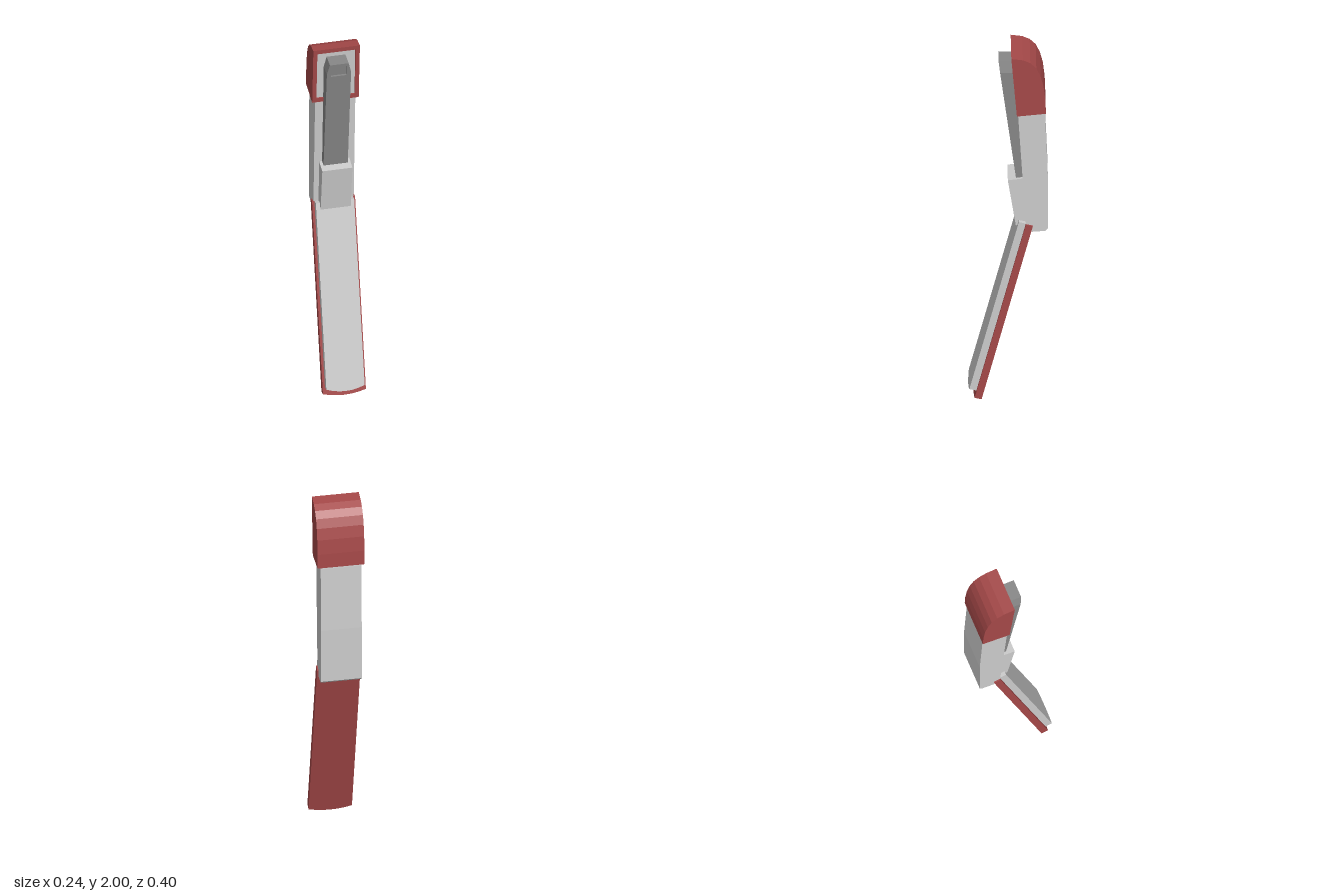
import * as THREE from 'three';

const grey = new THREE.MeshStandardMaterial({ color: 0xcccccc, flatShading: true });
const dark = new THREE.MeshStandardMaterial({ color: 0x878787, flatShading: true });
const red = new THREE.MeshStandardMaterial({ color: 0xa44848, flatShading: true });

const toShape = (pts) => new THREE.Shape(pts.map(([x, y]) => new THREE.Vector2(x, y)));
const extrude = (shape, depth) => new THREE.ExtrudeGeometry(shape, { depth, bevelEnabled: false });

function part(name, geometry, material) {
  const mesh = new THREE.Mesh(geometry, material);
  mesh.name = name;
  return mesh;
}

// Side profile of [z, y] points, extruded across x and centred on x
function sideExtrude(pts, width, x = 0) {
  return extrude(toShape(pts), width).rotateY(-Math.PI / 2).translate(x + width / 2, 0, 0);
}

// Long plate hanging down from y = 0 with a bowed lower end
function leafPlate(half, corner, middle, z, depth) {
  const bow = middle - corner;
  const steps = [-1, -0.7, -0.35, 0, 0.35, 0.7, 1];
  const pts = steps.map((s) => [s * half, -(middle - bow * s * s)]);
  return extrude(toShape([...pts, [half, 0], [-half, 0]]), depth).translate(0, 0, z);
}

// Lean a slab forward as it rises, so its front follows the sloping lever line
function lean(geometry) {
  const p = geometry.attributes.position;
  for (let i = 0; i < p.count; i++) {
    p.setZ(i, p.getZ(i) + 0.046 - 0.13 * (1.945 - p.getY(i)));
  }
  geometry.computeVertexNormals();
  return geometry;
}

export function createModel() {
  const model = new THREE.Group();
  model.name = 'hingedTool';

  // Upper housing, its top running up inside the cap
  model.add(part('housing', sideExtrude([
    [-0.122, 0.985], [-0.188, 0.99], [-0.2, 1.003], [-0.2, 1.31], [-0.185, 1.67],
    [-0.165, 1.83], [-0.12, 1.93], [-0.03, 1.978], [-0.05, 1.68], [-0.09, 1.03],
  ], 0.206), grey));

  // Cap: curved shell with two side cheeks
  const cap = new THREE.Group();
  cap.name = 'cap';
  const outer = [
    [-0.045, 1.665], [-0.19, 1.68], [-0.187, 1.76], [-0.178, 1.84], [-0.163, 1.9],
    [-0.142, 1.945], [-0.112, 1.975], [-0.075, 1.992], [-0.017, 2],
  ];
  const inner = [[-0.019, 1.976], [-0.08, 1.97], [-0.15, 1.88], [-0.165, 1.7], [-0.043, 1.69]];
  cap.add(part('capShell', sideExtrude([...outer, ...inner], 0.2), red));
  for (const side of [-1, 1]) {
    cap.add(part('capCheek', sideExtrude(outer, 0.021, side * 0.1085), red));
  }
  model.add(cap);

  // Lever bar with chamfered top corners and a shallow window at its tip
  const outline = [[-0.062, 1.25], [0.062, 1.25], [0.062, 1.885], [0.048, 1.945], [-0.048, 1.945], [-0.062, 1.885]];
  const face = toShape(outline);
  face.holes.push(new THREE.Path([[-0.041, 1.867], [-0.041, 1.928], [0.041, 1.928], [0.041, 1.867]]
    .map(([x, y]) => new THREE.Vector2(x, y))));
  const lever = new THREE.Group();
  lever.name = 'lever';
  lever.add(part('leverBody', lean(extrude(toShape(outline), 0.068).translate(0, 0, -0.08)), dark));
  lever.add(part('leverFace', lean(extrude(face, 0.012).translate(0, 0, -0.012)), dark));
  model.add(lever);

  // Block that holds the foot of the lever
  model.add(part('leverSocket', sideExtrude([
    [-0.04, 1.008], [-0.1, 1.015], [-0.078, 1.28], [0, 1.27],
  ], 0.154), grey));

  // Lower leaf, tilted forward from the joint
  const leaf = new THREE.Group();
  leaf.name = 'leaf';
  leaf.position.set(0, 1.03, -0.09);
  leaf.rotation.x = -0.25;
  leaf.add(part('leafBack', leafPlate(0.11, 1.036, 1.053, -0.036, 0.036), red));
  leaf.add(part('leafFront', leafPlate(0.098, 1.0, 1.02, 0, 0.036), grey));
  model.add(leaf);

  return model;
}
